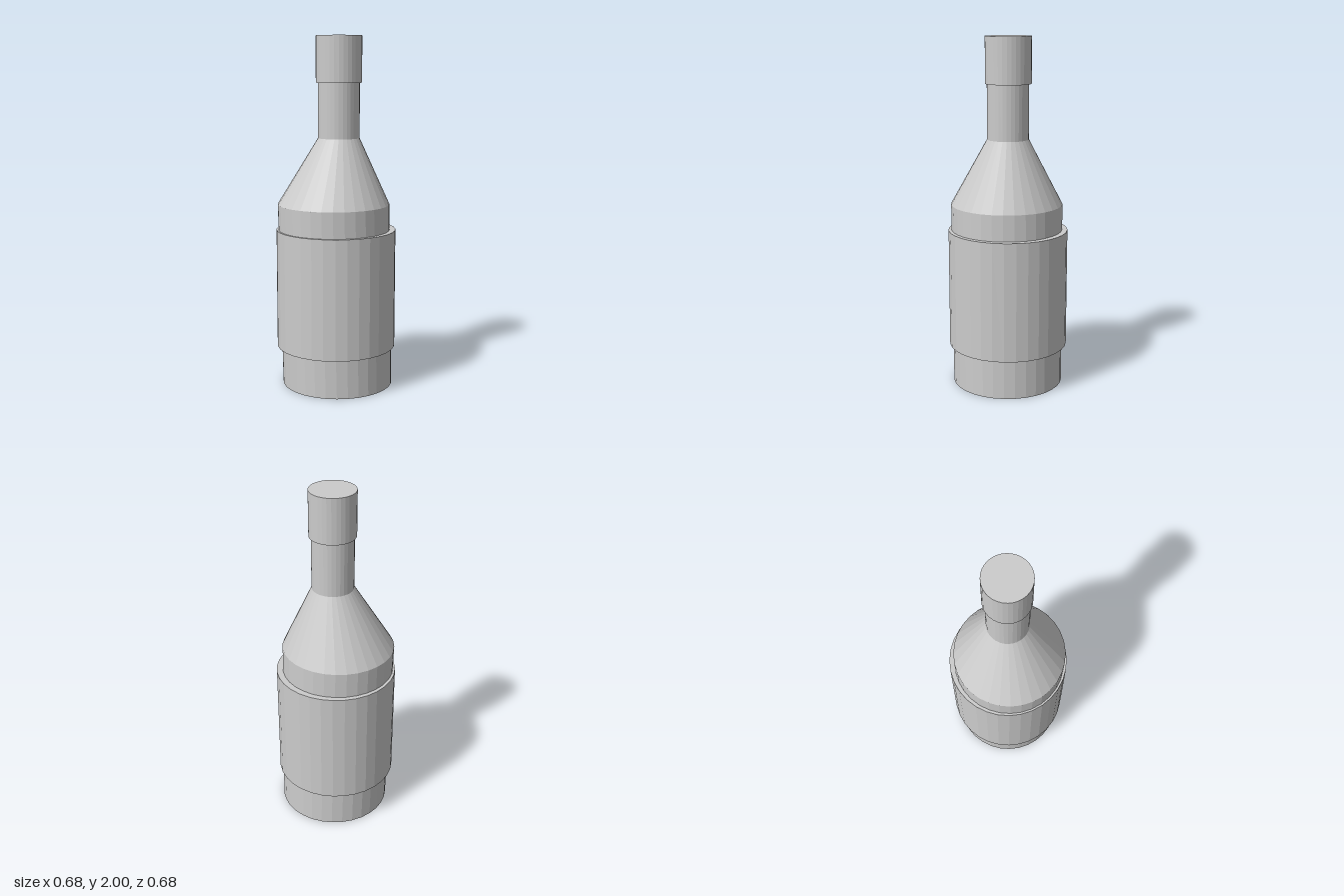
import * as THREE from 'three';

const SIDES = 32;
const material = new THREE.MeshStandardMaterial({ color: 0xcccccc, flatShading: true });

// Round solid through rings [radius, y, centreX, centreZ], listed from bottom to top
function leaningLathe(name, rings) {
  const first = rings[0], last = rings[rings.length - 1];
  const all = [[0, ...first.slice(1)], ...rings, [0, ...last.slice(1)]];
  const geometry = new THREE.LatheGeometry(all.map(([r, y]) => new THREE.Vector2(r, y)), SIDES);
  const pos = geometry.attributes.position;
  for (let i = 0; i < pos.count; i++) {
    const [, , cx, cz] = all[i % all.length];
    pos.setX(i, pos.getX(i) + cx);
    pos.setZ(i, pos.getZ(i) + cz);
  }
  geometry.computeVertexNormals();
  const mesh = new THREE.Mesh(geometry, material);
  mesh.name = name;
  return mesh;
}

export function createModel() {
  const group = new THREE.Group();
  group.name = 'bottle';

  // Slightly leaning glass: base, shoulder edge, neck foot, neck top
  group.add(leaningLathe('bottleBody', [
    [0.318, 0, 0.008, 0.003],
    [0.319, 1.055, -0.015, 0.005],
    [0.118, 1.43, 0.016, 0.002],
    [0.118, 1.76, 0.016, 0.002],
  ]));

  // Wide sleeve around the body
  group.add(leaningLathe('labelSleeve', [
    [0.342, 0.225, 0, 0],
    [0.342, 0.908, 0, 0],
  ]));

  // Cap over the neck
  group.add(leaningLathe('cap', [
    [0.13, 1.74, 0.017, 0],
    [0.13, 2, 0.017, 0],
  ]));

  return group;
}
